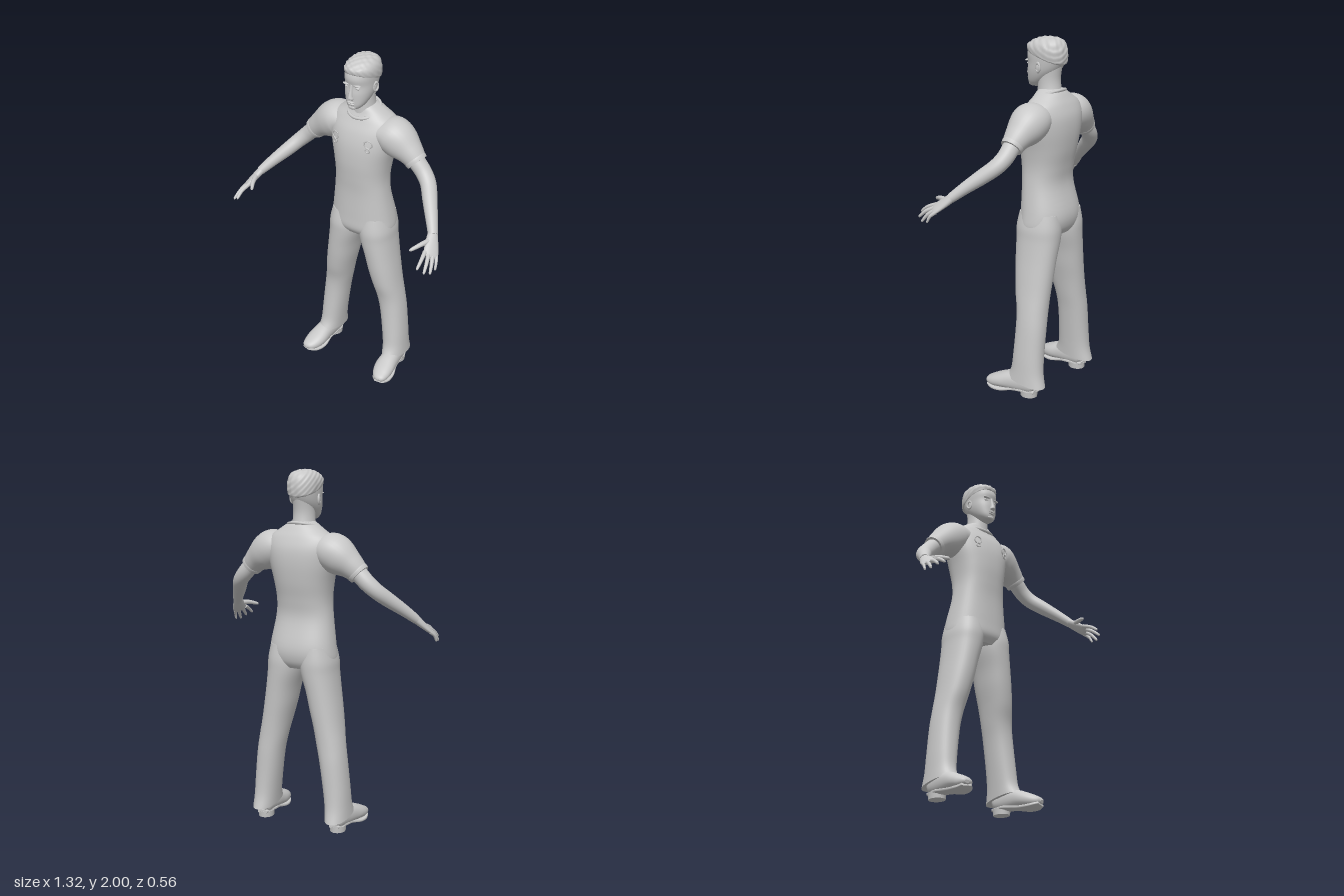
import * as THREE from 'three';

const V = (x, y, z) => new THREE.Vector3(x, y, z);
const mix = (p0, p1, p2, p3, t) => 0.5 * (2 * p1 + (p2 - p0) * t +
  (2 * p0 - 5 * p1 + 4 * p2 - p3) * t * t + (3 * p1 - p0 - 3 * p2 + p3) * t * t * t);

// Smooth skin over rings [x, y, z, ru, rv]. Rings lie flat unless ref is given;
// then they stand square to the path with rv measured along ref.
function loft(rings, { ref = null, power = 2, seg = 32, sub = 5, rule = null } = {}) {
  const rows = [], last = rings.length - 1;
  for (let i = 0; i < last; i++) {
    for (let k = 0; k < sub + (i === last - 1 ? 1 : 0); k++) {
      const r = j => rings[Math.min(last, Math.max(0, j))];
      rows.push(rings[0].map((_, c) => mix(r(i - 1)[c], r(i)[c], r(i + 1)[c], r(i + 2)[c], k / sub)));
    }
  }
  const pos = [], idx = [], sgnPow = a => Math.sign(a) * Math.pow(Math.abs(a), 2 / power);
  const centre = r => V(r[0], r[1], r[2]);
  rows.forEach((r, i) => {
    let u = V(1, 0, 0), v = V(0, 0, 1);
    if (ref) {
      const t = centre(rows[Math.min(rows.length - 1, i + 1)]).sub(centre(rows[Math.max(0, i - 1)])).normalize();
      v = ref.clone().addScaledVector(t, -ref.dot(t)).normalize();
      u = t.clone().cross(v);
    }
    for (let j = 0; j < seg; j++) {
      const a = j / seg * Math.PI * 2;
      const p = centre(r).addScaledVector(u, r[3] * sgnPow(Math.cos(a))).addScaledVector(v, r[4] * sgnPow(Math.sin(a)));
      if (rule) rule(p);
      pos.push(p.x, p.y, p.z);
    }
  });
  for (let i = 0; i < rows.length - 1; i++) for (let j = 0; j < seg; j++) {
    const a = i * seg + j, c = i * seg + (j + 1) % seg;
    idx.push(a, a + seg, c, c, a + seg, c + seg);
  }
  // end caps with their own rim, so the edge stays crisp
  [0, rows.length - 1].forEach((row, end) => {
    const base = pos.length / 3, m = V(0, 0, 0);
    for (let j = 0; j < seg; j++) {
      const o = (row * seg + j) * 3, p = V(pos[o], pos[o + 1], pos[o + 2]);
      m.addScaledVector(p, 1 / seg);
      pos.push(p.x, p.y, p.z);
    }
    pos.push(m.x, m.y, m.z);
    for (let j = 0; j < seg; j++) {
      const a = base + j, b = base + (j + 1) % seg;
      idx.push(base + seg, ...(end ? [b, a] : [a, b]));
    }
  });
  const g = new THREE.BufferGeometry();
  g.setAttribute('position', new THREE.Float32BufferAttribute(pos, 3));
  g.setIndex(idx);
  g.computeVertexNormals();
  return g;
}

// Flat ring from its height and extents
const span = (y, x0, x1, zf, zb) => [(x0 + x1) / 2, y, (zf + zb) / 2, (x1 - x0) / 2, (zf - zb) / 2];
const even = ([y, w, zf, zb]) => span(y, -w, w, zf, zb);

function mirrored(geo) {
  const g = geo.clone().scale(-1, 1, 1), ix = g.index;
  for (let i = 0; i < ix.count; i += 3) {
    const b = ix.getX(i + 1);
    ix.setX(i + 1, ix.getX(i + 2));
    ix.setX(i + 2, b);
  }
  return g;
}

const ball = (x, y, z, rx, ry, rz) => new THREE.SphereGeometry(1, 20, 14).scale(rx, ry, rz).translate(x, y, z);

export function createModel() {
  const model = new THREE.Group();
  const grey = new THREE.MeshStandardMaterial({ color: 0xc8c8c8 });
  grey.name = 'light grey';
  const add = (name, geo) => {
    const m = new THREE.Mesh(geo, grey);
    m.name = name;
    model.add(m);
  };
  const pair = (name, geo) => {
    add(name + 'Left', geo);
    add(name + 'Right', mirrored(geo));
  };

  // Shirt and hips
  add('torso', loft([
    [0.925, 0.17, -0.03, -0.235], [0.97, 0.195, -0.002, -0.263], [1.05, 0.188, 0, -0.27],
    [1.2, 0.165, 0, -0.235], [1.3, 0.157, 0.008, -0.243], [1.4, 0.168, 0.015, -0.263],
    [1.5, 0.19, 0.01, -0.275], [1.58, 0.2, -0.01, -0.272], [1.64, 0.185, -0.04, -0.252],
    [1.68, 0.13, -0.06, -0.23], [1.71, 0.085, -0.07, -0.21], [1.725, 0.06, -0.08, -0.19],
  ].map(even), { power: 2.3, seg: 48 }));
  const collar = [];
  for (let i = 0; i < 16; i++) {
    const a = i / 16 * Math.PI * 2, f = Math.sin(a);
    collar.push(V(0.088 * Math.cos(a), 1.69 - 0.03 * f, -0.125 + 0.083 * f));
  }
  add('collar', new THREE.TubeGeometry(new THREE.CatmullRomCurve3(collar, true), 48, 0.009, 8, true));
  pair('chestBuckle', new THREE.TorusGeometry(0.022, 0.004, 6, 20).rotateY(0.25).translate(0.105, 1.545, -0.004));
  pair('chestClasp', new THREE.TorusGeometry(0.012, 0.004, 6, 16).rotateY(0.25).translate(0.105, 1.51, 0.001));

  // Sleeves with a thick hem
  const zAxis = V(0, 0, 1);
  pair('sleeve', loft([
    [0.1, 1.59, -0.13, 0.06, 0.09], [0.17, 1.575, -0.14, 0.1, 0.108], [0.23, 1.54, -0.14, 0.1, 0.1],
    [0.29, 1.5, -0.135, 0.074, 0.076], [0.335, 1.46, -0.13, 0.058, 0.058],
  ], { ref: zAxis }));
  pair('sleeveHem', loft([
    [0.318, 1.475, -0.132, 0.06, 0.06], [0.326, 1.468, -0.131, 0.063, 0.063],
    [0.34, 1.455, -0.13, 0.06, 0.06],
  ], { ref: zAxis, sub: 3 }));

  // Arms and hands
  pair('arm', loft([
    [0.28, 1.51, -0.135, 0.048, 0.05], [0.335, 1.46, -0.13, 0.047, 0.048], [0.385, 1.41, -0.125, 0.045, 0.046],
    [0.43, 1.365, -0.1, 0.042, 0.045], [0.475, 1.315, -0.045, 0.039, 0.042],
    [0.53, 1.255, 0.025, 0.032, 0.034], [0.577, 1.2, 0.085, 0.025, 0.027],
  ], { ref: zAxis }));
  const across = V(0.6, -0.35, -0.45).normalize();
  pair('palm', loft([
    [0.57, 1.208, 0.075, 0.022, 0.026], [0.59, 1.175, 0.115, 0.02, 0.036],
    [0.614, 1.137, 0.163, 0.014, 0.042], [0.62, 1.126, 0.178, 0.007, 0.034],
  ], { ref: across }));
  const tips = [[0.6, 1.1, 0.278], [0.635, 1.08, 0.265], [0.652, 1.064, 0.23], [0.658, 1.067, 0.188]];
  const finger = (name, a, b, r) => {
    const m = a.clone().lerp(b, 0.5).add(V(0.004, 0.006, 0.003)), e = a.clone().lerp(b, 0.94);
    pair(name, loft([[...a, r, r], [...m, r * 0.85, r * 0.85], [...e, r * 0.6, r * 0.6], [...b, r * 0.15, r * 0.15]],
      { ref: across, seg: 12, sub: 4 }));
  };
  tips.forEach((t, i) => finger('finger' + (i + 1),
    V(0.612, 1.138, 0.162).addScaledVector(across, (i - 1.5) * 0.022), V(...t), i === 3 ? 0.01 : 0.012));
  finger('thumb', V(0.58, 1.185, 0.115), V(0.527, 1.165, 0.232), 0.015);

  // Trouser legs, flared hems dipping at the heel
  pair('trouserLeg', loft([
    span(0.085, 0.17, 0.3, -0.025, -0.268), span(0.15, 0.163, 0.296, -0.05, -0.25),
    span(0.25, 0.15, 0.29, -0.06, -0.245), span(0.4, 0.128, 0.276, -0.066, -0.245),
    span(0.5, 0.107, 0.262, -0.06, -0.243), span(0.6, 0.085, 0.245, -0.036, -0.245),
    span(0.7, 0.06, 0.23, -0.02, -0.25), span(0.8, 0.038, 0.215, -0.01, -0.256),
    span(0.9, 0.008, 0.203, -0.002, -0.263), span(0.97, 0, 0.198, 0, -0.265),
    span(1.05, 0.01, 0.18, -0.015, -0.255),
  ], { power: 2.2, seg: 40, rule: p => { p.y += 0.16 * (p.z + 0.15) * Math.max(0, 1 - (p.y - 0.085) / 0.1); } }));

  // Shoes
  const xAxis = V(1, 0, 0);
  pair('shoe', loft([
    [0.232, 0.07, -0.215, 0.03, 0.028], [0.235, 0.075, -0.19, 0.05, 0.046], [0.24, 0.075, -0.12, 0.06, 0.05],
    [0.245, 0.068, -0.05, 0.055, 0.055], [0.25, 0.055, 0.01, 0.045, 0.06],
    [0.26, 0.043, 0.06, 0.035, 0.052], [0.27, 0.038, 0.095, 0.022, 0.034], [0.273, 0.035, 0.108, 0.008, 0.014],
  ], { ref: xAxis, power: 2.2, rule: p => { p.y = Math.max(p.y, 0.018); } }));
  pair('sole', loft([
    [0.234, 0.035, -0.215, 0.01, 0.03], [0.238, 0.034, -0.13, 0.01, 0.046], [0.243, 0.026, -0.07, 0.01, 0.045],
    [0.25, 0.012, 0, 0.01, 0.06], [0.26, 0.012, 0.06, 0.01, 0.054], [0.271, 0.022, 0.1, 0.008, 0.03],
  ], { ref: xAxis, power: 4 }));
  pair('heel', new THREE.CylinderGeometry(0.046, 0.043, 0.035, 24).scale(1, 1, 1.15).translate(0.236, 0.0175, -0.165));

  // Neck and head
  add('neck', loft([
    [1.66, 0.075, -0.06, -0.21], [1.72, 0.062, -0.06, -0.193], [1.78, 0.058, -0.06, -0.188], [1.85, 0.06, -0.06, -0.2],
  ].map(even)));
  add('head', loft([
    [1.727, 0.022, -0.012, -0.06], [1.735, 0.036, -0.002, -0.08], [1.755, 0.053, 0.003, -0.11],
    [1.785, 0.067, 0.004, -0.15], [1.82, 0.076, 0.004, -0.185], [1.86, 0.08, 0, -0.207],
    [1.9, 0.082, 0.006, -0.218], [1.94, 0.08, -0.006, -0.216], [1.97, 0.065, -0.03, -0.2], [1.985, 0.03, -0.07, -0.16],
  ].map(even), { power: 2.2, seg: 40 }));
  // short hair, lower at the nape, roughened by small waves
  add('hair', loft([
    [1.888, 0.078, -0.004, -0.216], [1.897, 0.085, 0.004, -0.224], [1.93, 0.087, 0.004, -0.228],
    [1.96, 0.079, -0.016, -0.22], [1.982, 0.06, -0.045, -0.198], [1.993, 0.036, -0.075, -0.165],
    [1.997, 0.008, -0.11, -0.13],
  ].map(even), {
    power: 2.2, seg: 64, sub: 7, rule: p => {
      p.y += 0.32 * (p.z + 0.11) * Math.max(0, (1.99 - p.y) / 0.1);
      const n = 0.022 * Math.sin(p.x * 150 + p.y * 90) * Math.sin(p.z * 140 - p.y * 110);
      p.x *= 1 + n;
      p.z += (p.z + 0.11) * n;
      p.y += n * 0.1;
    },
  }));

  // Face
  add('nose', loft([
    [0, 1.788, 0.003, 0.016, 0.01], [0, 1.795, 0.006, 0.017, 0.017], [0, 1.81, 0.005, 0.012, 0.016],
    [0, 1.84, 0.001, 0.009, 0.011], [0, 1.87, -0.002, 0.007, 0.007],
  ], { seg: 20 }));
  add('upperLip', ball(0, 1.771, 0.003, 0.024, 0.005, 0.009));
  add('lowerLip', ball(0, 1.761, 0.002, 0.021, 0.006, 0.009));
  add('chin', ball(0, 1.739, -0.008, 0.024, 0.013, 0.012));
  pair('eye', ball(0.032, 1.852, -0.01, 0.014, 0.007, 0.008));
  pair('brow', ball(0.033, 1.868, -0.006, 0.024, 0.006, 0.011));
  pair('ear', new THREE.TorusGeometry(0.017, 0.006, 8, 20).scale(0.9, 1.35, 1).rotateY(Math.PI / 2 - 0.3).translate(0.082, 1.84, -0.108));
  pair('earInner', ball(0.079, 1.838, -0.105, 0.006, 0.02, 0.015));

  return model;
}
